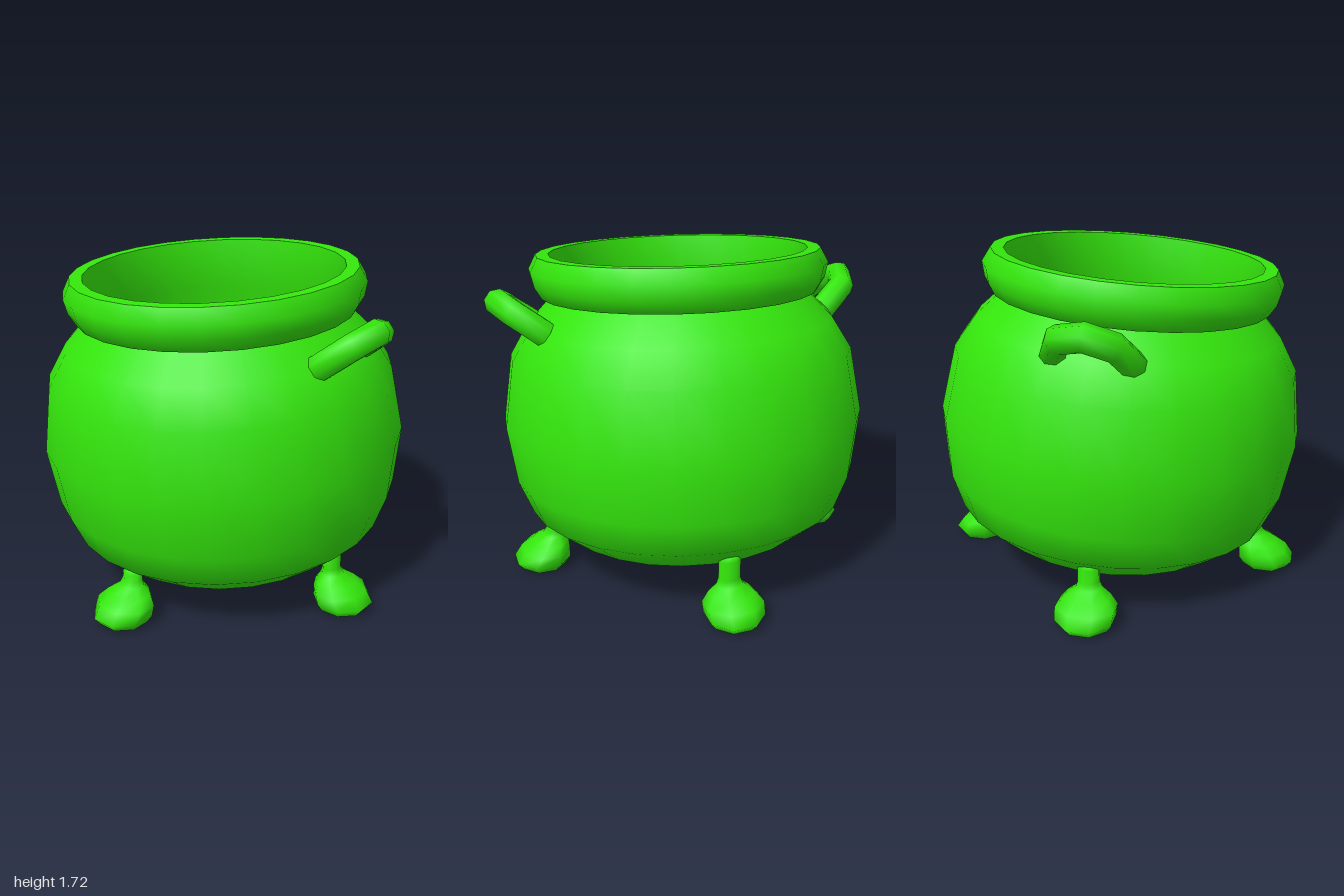
import * as THREE from 'three';
import { toCreasedNormals } from 'three/addons/utils/BufferGeometryUtils.js';
import { ParametricGeometry } from 'three/addons/geometries/ParametricGeometry.js';

const SIDES = 26;
const material = new THREE.MeshStandardMaterial({ color: 0x34e60c, side: THREE.DoubleSide });

function addMesh(parent, name, geometry) {
  const mesh = new THREE.Mesh(geometry, material);
  mesh.name = name;
  parent.add(mesh);
  return mesh;
}

// Turned shape from [radius, height] pairs, flat side facing front and back
function turned(profile) {
  const points = profile.map(([r, h]) => new THREE.Vector2(r, h));
  return new THREE.LatheGeometry(points, SIDES, Math.PI / SIDES);
}

// Loft of ellipses: [y, centre z, half length z, half width x]
function loft(rings, sides) {
  const positions = [], index = [];
  rings.forEach(([y, centre, length, width], i) => {
    for (let j = 0; j < sides; j++) {
      const a = (j + 0.5) / sides * Math.PI * 2;
      positions.push(width * Math.sin(a), y, centre + length * Math.cos(a));
      if (i === 0) continue;
      const k = (j + 1) % sides, low = (i - 1) * sides, high = i * sides;
      index.push(low + j, low + k, high + k, low + j, high + k, high + j);
    }
  });
  const geometry = new THREE.BufferGeometry();
  geometry.setAttribute('position', new THREE.Float32BufferAttribute(positions, 3));
  geometry.setIndex(index);
  geometry.computeVertexNormals();
  return geometry;
}

// Foot with a hollow sole, a sloping toe and a thin stem
function footGeometry(top) {
  return loft([
    [0.07, 0.805, 0.06, 0.06],
    [0, 0.805, 0.09, 0.085],
    [0, 0.808, 0.122, 0.122],
    [0.04, 0.812, 0.152, 0.152],
    [0.095, 0.792, 0.131, 0.157],
    [0.135, 0.765, 0.1, 0.117],
    [0.17, 0.745, 0.058, 0.066],
    [0.2, 0.738, 0.044, 0.056],
    [top - 0.02, 0.738, 0.044, 0.056],
    [top, 0.738, 0.03, 0.038],
    [top, 0.738, 0, 0],
  ], 8);
}

// Half loop of eight-sided tube, longer than wide
function handleGeometry() {
  const width = 0.182, length = 0.24, tube = 0.067;
  return new ParametricGeometry((u, v, target) => {
    const a = u * Math.PI, b = v * Math.PI * 2 + Math.PI / 8;
    const out = tube * Math.cos(b);
    target.set((width + out) * Math.cos(a), (length + out) * Math.sin(a), tube * Math.sin(b));
  }, 4, 8);
}

export function createModel() {
  const model = new THREE.Group();
  model.name = 'cauldron';

  // Pot leans slightly forward on its feet
  const pot = new THREE.Group();
  pot.name = 'pot';
  pot.position.set(0, 0.205, -0.04);
  pot.rotation.x = 0.084;
  model.add(pot);

  addMesh(pot, 'body', turned([
    [0.675, 0], [0.837, 0.133], [0.905, 0.308], [0.945, 0.61],
    [0.888, 0.945], [0.787, 1.11], [0.652, 1.25],
  ]));

  // Inner wall narrows at the neck, then widens down to the raised floor
  addMesh(pot, 'innerWall', turned([[0.662, 1.457], [0.628, 1.2], [0.8, 0.3]]));
  const floor = addMesh(pot, 'floor', new THREE.CircleGeometry(0.8, SIDES, Math.PI / 2 + Math.PI / SIDES));
  floor.rotation.x = -Math.PI / 2;
  floor.position.y = 0.3;

  const rim = turned([
    [0.64, 1.24], [0.715, 1.25], [0.75, 1.31], [0.766, 1.385],
    [0.727, 1.457], [0.662, 1.457],
  ]);
  addMesh(pot, 'rim', toCreasedNormals(rim, 1.0));

  // Angular loop handles, tilted up and outward
  for (const side of [1, -1]) {
    const handle = addMesh(pot, side > 0 ? 'leftHandle' : 'rightHandle', handleGeometry());
    handle.geometry.rotateY(Math.PI / 2);
    handle.geometry.rotateZ(-side * THREE.MathUtils.degToRad(53));
    handle.position.set(side * 0.742, 1.113, 0);
  }

  // Four feet: front, left, back, right
  const feet = [
    ['frontFoot', 0.25, 0.02, 0.01],
    ['leftFoot', 0.29, -0.012, 0.025],
    ['backFoot', 0.32, 0.02, -0.01],
    ['rightFoot', 0.29, -0.004, 0.025],
  ];
  feet.forEach(([name, top, x, z], i) => {
    const foot = addMesh(model, name, footGeometry(top));
    foot.rotation.y = i * Math.PI / 2;
    foot.position.set(x, 0, z);
  });

  return model;
}
